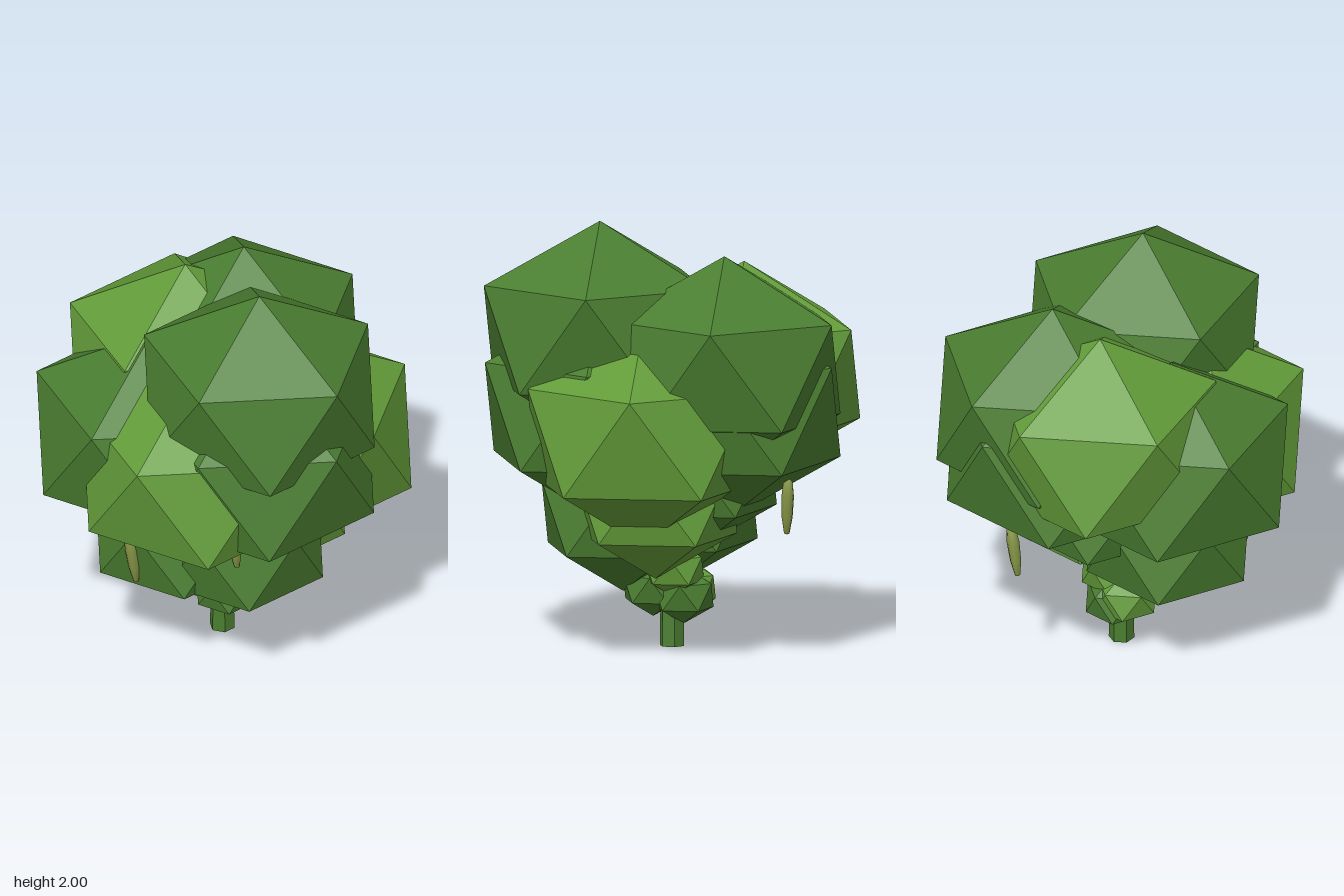
import * as THREE from 'three';
import { ConvexGeometry } from 'three/addons/geometries/ConvexGeometry.js';

// Pole-up icosahedron, squashed a little in height
function clumpGeometry() {
  const pts = [new THREE.Vector3(0, 1, 0), new THREE.Vector3(0, -1, 0)];
  const h = 1 / Math.sqrt(5);
  for (let i = 0; i < 10; i++) {
    const a = (i * Math.PI) / 5;
    pts.push(new THREE.Vector3(2 * h * Math.cos(a), i % 2 ? -h : h, 2 * h * Math.sin(a)));
  }
  return new ConvexGeometry(pts).scale(1, 0.85, 1);
}

export function createModel() {
  const group = new THREE.Group();
  const make = (name, color) => {
    const m = new THREE.MeshStandardMaterial({ color });
    m.name = name;
    return m;
  };
  const dark = make('dark leaf green', 0x4a7d30);
  const light = make('light leaf green', 0x639c3a);
  const podGreen = make('olive pod green', 0x8a9a48);

  const add = (name, geometry, material) => {
    const mesh = new THREE.Mesh(geometry, material);
    mesh.name = name;
    group.add(mesh);
    return mesh;
  };

  // Leaf clumps: [x, y, z, material]
  const clump = clumpGeometry();
  const clumps = (name, radius, list) => list.forEach(([x, y, z, material]) => {
    const mesh = add(name, clump, material);
    mesh.position.set(x, y, z);
    mesh.scale.setScalar(radius);
  });
  clumps('crownClump', 0.615, [
    [0.33, 1.477, 0.06, dark],
    [0.325, 1.115, 0.06, dark],
    [0.155, 1.087, 0.29, light],
    [-0.2, 1.106, 0.26, dark],
    [-0.33, 1.287, -0.06, light],
    [-0.19, 1.35, -0.3, dark],
    [-0.2, 1.14, -0.25, dark],
    [0.19, 1.04, -0.29, light],
  ]);
  clumps('middleClump', 0.433, [
    [-0.063, 0.62, 0.227, dark],
    [0.217, 0.62, 0.07, dark],
    [0.11, 0.71, -0.16, light],
    [-0.09, 0.83, -0.1, dark],
  ]);
  clumps('baseClump', 0.16, [
    [0.08, 0.27, 0.045, dark],
    [-0.07, 0.27, 0.03, light],
    [-0.05, 0.24, -0.02, dark],
    [0, 0.37, -0.045, light],
  ]);

  // Stem
  const stem = new THREE.CylinderGeometry(0.045, 0.06, 1, 6).translate(0, 0.5, 0).toNonIndexed();
  stem.computeVertexNormals();
  add('stem', stem, dark);

  // Hanging pods: [x, tip y, z, length, lean]
  const profile = [[0, 0], [0.013, 0.02], [0.026, 0.3], [0.03, 0.65], [0.022, 0.9], [0, 1]];
  for (const [x, y, z, length, lean] of [
    [0.02, 0.485, 0.55, 0.3, 0.16],
    [-0.46, 0.575, -0.43, 0.28, -0.12],
    [0.48, 0.69, 0.33, 0.26, 0.1],
  ]) {
    const points = profile.map(([r, t]) => new THREE.Vector2(r, t * length));
    const pod = add('pod', new THREE.LatheGeometry(points, 8), podGreen);
    pod.position.set(x, y, z);
    pod.rotation.x = lean;
  }
  return group;
}
